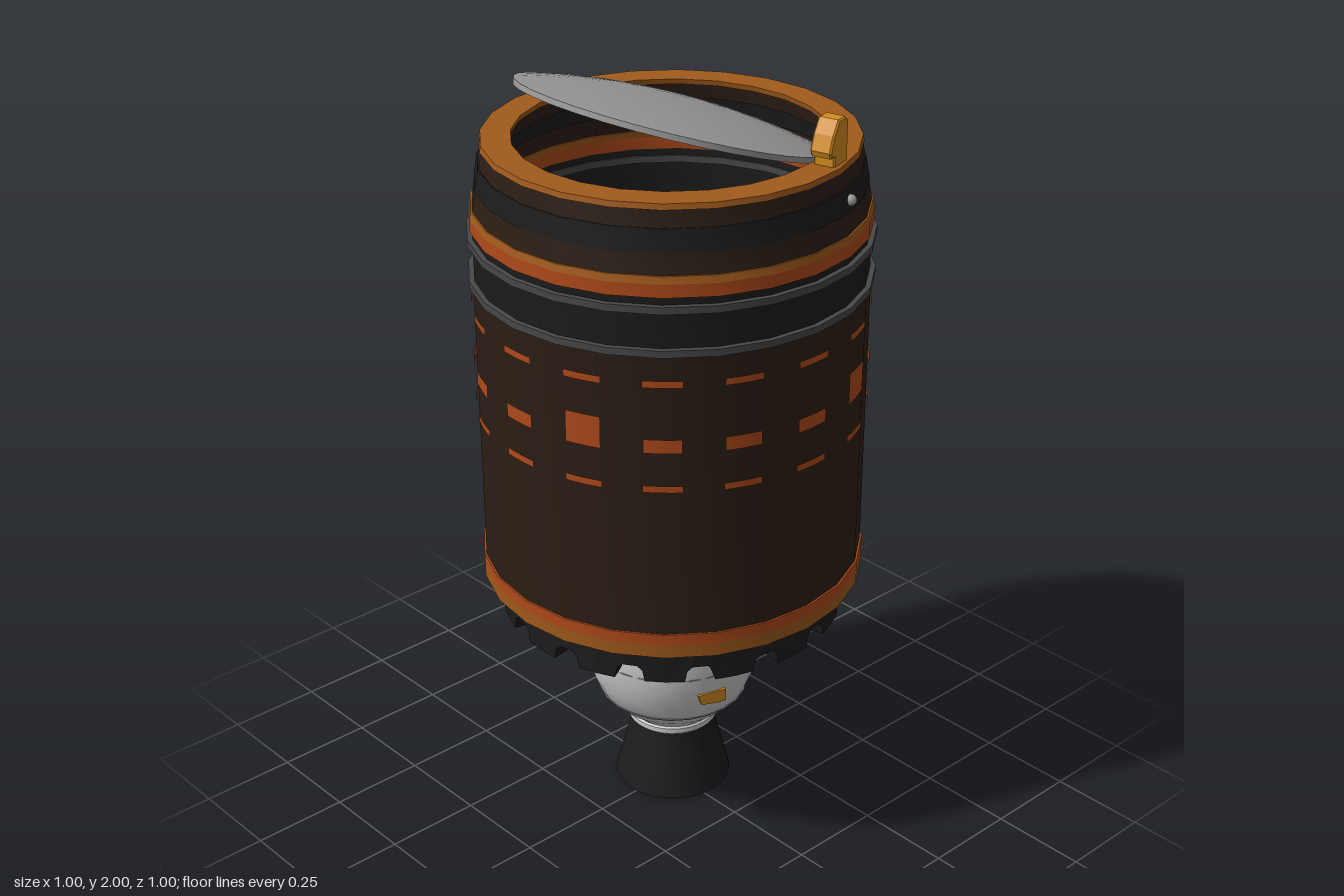
import * as THREE from 'three';
import { toCreasedNormals } from 'three/addons/utils/BufferGeometryUtils.js';

const SEG = 24;
const RAD = Math.PI / 180;
const COLOR = {
  brown: 0x2b1e15, black: 0x1c1c1c, grey: 0x484848, copper: 0xa05a1c, rust: 0xb04a1a,
  amber: 0xd38c1c, white: 0xcccccc, lid: 0x999999, patch: 0x8c8c8c,
};
const materials = {};
for (const key in COLOR) {
  materials[key] = new THREE.MeshStandardMaterial({ color: COLOR[key], side: THREE.DoubleSide });
}

function add(parent, name, geometry, color) {
  const mesh = new THREE.Mesh(geometry, materials[color]);
  mesh.name = name;
  parent.add(mesh);
  return mesh;
}

// Revolved part; points are [radius, y], rising along the outside
function lathe(parent, name, color, points, seg = SEG) {
  const geo = new THREE.LatheGeometry(points.map(([r, y]) => new THREE.Vector2(r, y)), seg);
  return add(parent, name, toCreasedNormals(geo, 0.6), color);
}

// Hollow ring with a sloping outside and inside
function band(parent, name, color, y0, y1, r0, r1 = r0, wall = 0.03) {
  return lathe(parent, name, color,
    [[r0 - wall, y0], [r0, y0], [r1, y1], [r1 - wall, y1], [r0 - wall, y0]]);
}

// Curved plate lying on a round wall; angle runs from +z toward +x
function plate(parent, name, color, angle, width, y0, y1, r0, r1 = r0) {
  const arc = width / r0;
  const geo = new THREE.CylinderGeometry(r1, r0, y1 - y0, 4, 1, true, angle * RAD - arc / 2, arc);
  geo.translate(0, (y0 + y1) / 2, 0);
  return add(parent, name, geo, color);
}

const polar = (angle, r, y) =>
  new THREE.Vector3(r * Math.sin(angle * RAD), y, r * Math.cos(angle * RAD));

// One arched tooth of the skirt, extruded flat and bent round the axis
function toothGeometry(radius, wall, y0, y1) {
  const half = Math.PI / 16, gap = 0.085;
  const shape = new THREE.Shape();
  shape.moveTo(-half, y0);
  shape.lineTo(-gap, y0);
  shape.lineTo(-gap * 0.85, y0 + 0.03);
  shape.lineTo(-gap * 0.5, y0 + 0.042);
  shape.lineTo(gap * 0.5, y0 + 0.042);
  shape.lineTo(gap * 0.85, y0 + 0.03);
  shape.lineTo(gap, y0);
  shape.lineTo(half, y0);
  shape.lineTo(half, y1);
  shape.lineTo(0, y1);
  shape.lineTo(-half, y1);
  const geo = new THREE.ExtrudeGeometry(shape, { depth: wall, bevelEnabled: false });
  const p = geo.attributes.position;
  for (let i = 0; i < p.count; i++) {
    const a = p.getX(i), r = radius - wall + p.getZ(i);
    p.setXYZ(i, r * Math.sin(a), p.getY(i), r * Math.cos(a));
  }
  geo.computeVertexNormals();
  return geo;
}

function buildHull(parent) {
  const hull = new THREE.Group();
  hull.name = 'hull';
  parent.add(hull);
  // Stacked colour bands, bottom to top
  band(hull, 'lowerCopperBand', 'copper', 0.68, 0.715, 0.49);
  band(hull, 'lowerRustBand', 'rust', 0.715, 0.745, 0.49);
  band(hull, 'mainWall', 'brown', 0.745, 1.485, 0.485);
  band(hull, 'blackCollar', 'black', 1.485, 1.635, 0.482);
  for (const y of [1.495, 1.602]) band(hull, 'collarRing', 'grey', y - 0.009, y + 0.009, 0.495, 0.495, 0.048);
  band(hull, 'upperRustBand', 'rust', 1.63, 1.662, 0.488, 0.487, 0.038);
  band(hull, 'upperCopperBand', 'copper', 1.662, 1.68, 0.487, 0.483, 0.038);
  band(hull, 'shoulderLower', 'brown', 1.68, 1.73, 0.479, 0.47);
  band(hull, 'shoulderMiddle', 'black', 1.73, 1.785, 0.472, 0.462, 0.04);
  band(hull, 'shoulderUpper', 'brown', 1.785, 1.828, 0.46, 0.452, 0.06);
  band(hull, 'rim', 'copper', 1.826, 1.84, 0.456, 0.453, 0.073);
  lathe(hull, 'floor', 'black', [[0, 0.64], [0.43, 0.64], [0.46, 0.685], [0.46, 0.72], [0, 0.72]]);

  // Rows of lights, with a tall one at every fourth place
  for (let i = 0; i < 16; i++) {
    const a = i * 22.5;
    plate(hull, 'upperLight', 'rust', a, 0.095, 1.408, 1.426, 0.489);
    plate(hull, 'lowerLight', 'rust', a, 0.095, 1.137, 1.155, 0.489);
    plate(hull, 'middleLight', 'rust', a, 0.09, 1.24, i % 4 === 1 ? 1.322 : 1.276, 0.489);
  }
  plate(hull, 'verticalStripe', 'rust', 149, 0.03, 0.74, 1.335, 0.491);

  // Toothed skirt
  const tooth = toothGeometry(0.446, 0.05, 0.58, 0.69);
  for (let i = 0; i < 16; i++) {
    add(hull, 'skirtTooth', tooth, 'black').rotation.y = (i + 0.5) * 22.5 * RAD;
  }
}

function buildLid(parent) {
  // Shallow dome, hinged open at the front
  const profile = [[0, 0], [0.38, 0], [0.381, 0.014]];
  for (let i = 1; i <= 6; i++) {
    const t = 1 - i / 6;
    profile.push([0.375 * t, 0.016 + 0.04 * (1 - t * t)]);
  }
  const lid = lathe(parent, 'lid', 'lid', profile, 32);
  lid.position.set(-0.01, 1.866, -0.005);
  lid.rotation.x = -19 * RAD;

  // Hooked latch on the rim
  const hook = new THREE.Shape([
    [-0.028, -0.02], [0.028, -0.02], [0.028, 0.1], [0.016, 0.11], [-0.012, 0.11],
    [-0.034, 0.08], [-0.048, 0.045], [-0.044, 0.034], [-0.028, 0.032],
  ].map(([x, y]) => new THREE.Vector2(x, y)));
  const geo = new THREE.ExtrudeGeometry(hook, {
    depth: 0.046, bevelSize: 0.004, bevelThickness: 0.004, bevelSegments: 1,
  });
  geo.translate(0, 0, -0.023);
  const latch = add(parent, 'latch', geo, 'amber');
  latch.position.set(0.392, 1.834, -0.133);
  latch.rotation.y = 106 * RAD;
  const stud = add(parent, 'stud', new THREE.SphereGeometry(0.014, 10, 8), 'lid');
  stud.position.set(0.442, 1.755, -0.153);
}

function buildEngine(parent) {
  const engine = new THREE.Group();
  engine.name = 'engine';
  parent.add(engine);
  lathe(engine, 'pod', 'white', [
    [0, 0.2], [0.11, 0.205], [0.13, 0.225], [0.165, 0.255], [0.195, 0.29], [0.216, 0.34],
    [0.228, 0.39], [0.231, 0.43], [0.231, 0.46], [0.229, 0.52], [0.225, 0.568], [0.19, 0.58], [0, 0.58],
  ], 32);
  band(engine, 'podSeam', 'patch', 0.43, 0.434, 0.2325, 0.2325, 0.01);
  band(engine, 'podLowerSeam', 'patch', 0.288, 0.292, 0.198, 0.199, 0.015);
  band(engine, 'podTrim', 'amber', 0.548, 0.56, 0.232, 0.231, 0.02);
  lathe(engine, 'neck', 'amber', [[0.195, 0.57], [0.195, 0.65]]);
  // Clips round the neck
  for (let i = 0; i < 16; i++) {
    const clip = add(engine, 'neckClip', new THREE.BoxGeometry(0.03, 0.055, 0.025), i % 2 ? 'amber' : 'white');
    clip.position.copy(polar(i * 22.5, 0.203, 0.603));
    clip.rotation.y = i * 22.5 * RAD;
  }
  lathe(engine, 'nozzleCollar', 'white',
    [[0.08, 0.184], [0.113, 0.184], [0.12, 0.192], [0.12, 0.206], [0.113, 0.214], [0.08, 0.214]], 32);
  lathe(engine, 'nozzle', 'black',
    [[0.145, 0.005], [0.155, 0.003], [0.108, 0.186], [0.098, 0.186], [0.145, 0.005]]);
  lathe(engine, 'nozzleThroat', 'black', [[0, 0.15], [0.108, 0.15]]);
  plate(engine, 'podPatch', 'patch', 126, 0.125, 0.395, 0.43, 0.231, 0.234);

  // Tapered grips, 120 degrees apart
  const grip = new THREE.Shape([[-0.04, 0.018], [-0.03, -0.012], [0.015, -0.018], [0.04, -0.018], [0.04, 0.018]]
    .map(([x, y]) => new THREE.Vector2(-x, y)));
  const gripGeo = new THREE.ExtrudeGeometry(grip, { depth: 0.03, bevelEnabled: false });
  for (const a of [74, 194]) {
    const mesh = add(engine, 'grip', gripGeo, 'amber');
    mesh.position.copy(polar(a, 0.2, 0.365));
    mesh.rotation.y = a * RAD;
    mesh.scale.x = -1;
  }

  // Fuel line down the back of the pod
  const path = new THREE.CatmullRomCurve3([
    polar(172, 0.228, 0.57), polar(172, 0.236, 0.5), polar(172, 0.237, 0.43),
    polar(172, 0.226, 0.365), polar(165, 0.208, 0.31), polar(158, 0.172, 0.255), polar(156, 0.125, 0.215),
  ]);
  add(engine, 'fuelLine', new THREE.TubeGeometry(path, 30, 0.007, 6), 'amber');
}

export function createModel() {
  const model = new THREE.Group();
  model.name = 'canister';
  // The whole body leans slightly
  const body = new THREE.Group();
  body.name = 'body';
  body.position.set(-0.02, 0, -0.025);
  body.rotation.set(0.019, 0, -0.0165);
  model.add(body);
  buildHull(body);
  buildLid(body);
  buildEngine(body);
  return model;
}
